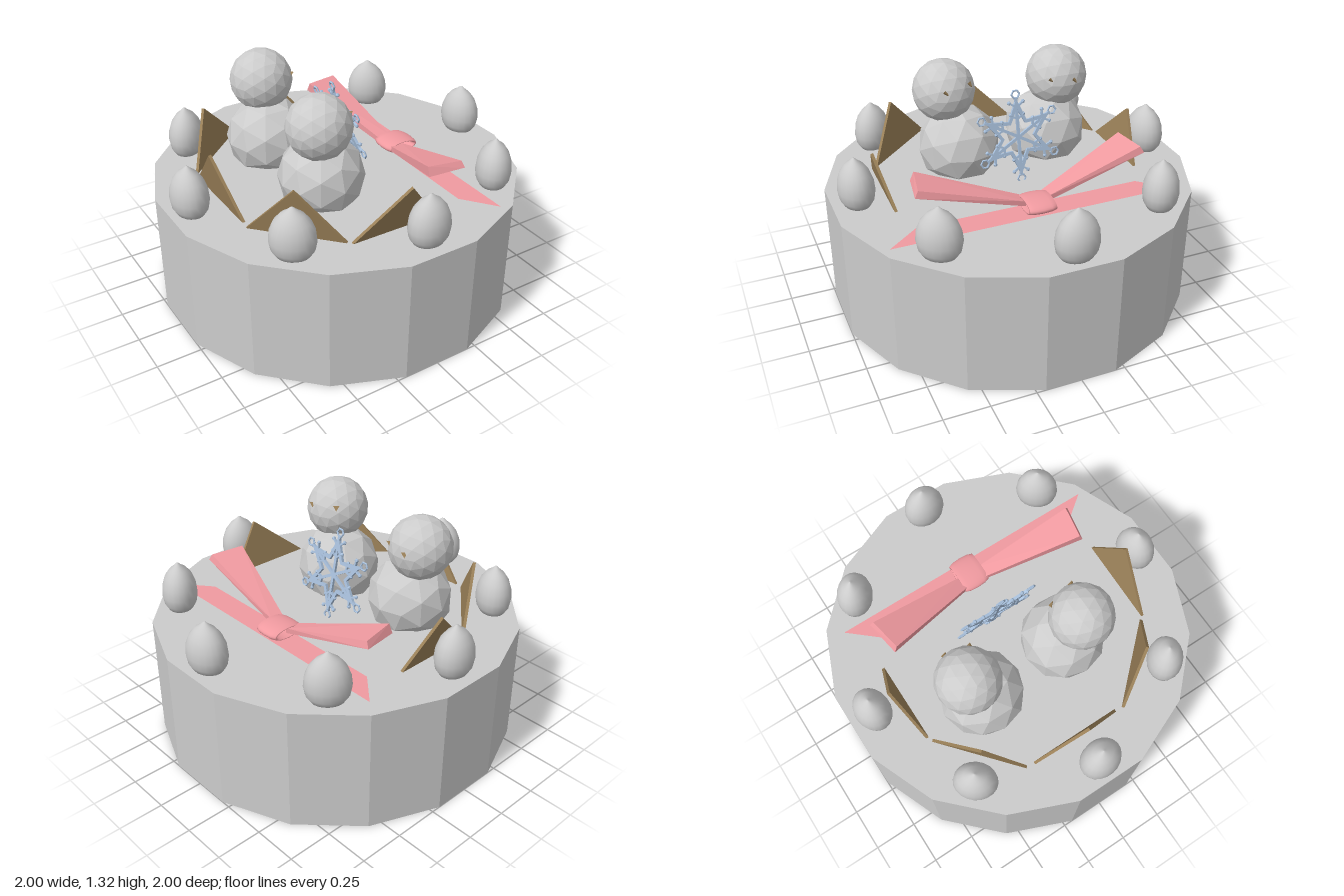
import * as THREE from 'three';
import { ConvexGeometry } from 'three/addons/geometries/ConvexGeometry.js';

const mat = (color, opts = {}) => new THREE.MeshStandardMaterial({ color, ...opts });
const V = (x, y, z) => new THREE.Vector3(x, y, z);

function add(parent, name, geometry, material, position) {
  const mesh = new THREE.Mesh(geometry, material);
  mesh.name = name;
  if (position) mesh.position.copy(position);
  parent.add(mesh);
  return mesh;
}

// Snowflake in its own XY plane, centred on the origin
function createSnowflake(material) {
  const flake = new THREE.Group();
  flake.name = 'snowflake';
  const starPoints = (outer, inner) => Array.from({ length: 12 }, (_, i) => {
    const a = Math.PI / 2 + i * Math.PI / 6, r = i % 2 ? inner : outer;
    return new THREE.Vector2(r * Math.cos(a), r * Math.sin(a));
  });
  const star = new THREE.Shape(starPoints(0.215, 0.105));
  star.holes.push(new THREE.Path(starPoints(0.16, 0.085)));
  const frame = new THREE.ExtrudeGeometry(star, { depth: 0.016, bevelEnabled: false });
  frame.translate(0, 0, -0.008);
  add(flake, 'starFrame', frame, material);

  const bar = (parent, name, length, width) =>
    add(parent, name, new THREE.BoxGeometry(width, length, 0.014), material);
  for (let i = 0; i < 6; i++) {
    const arm = new THREE.Group();
    arm.name = 'snowflakeArm';
    arm.rotation.z = i * Math.PI / 3;
    bar(arm, 'spoke', 0.22, 0.016).position.y = 0.11;
    add(arm, 'tipRing', new THREE.TorusGeometry(0.023, 0.006, 5, 6), material, V(0, 0.238, 0));
    for (const side of [-1, 1]) for (const [y, length] of [[0.1, 0.045], [0.165, 0.05]]) {
      const branch = new THREE.Group();
      branch.name = 'sideBranch';
      branch.position.y = y;
      branch.rotation.z = side * 0.95;
      bar(branch, 'twig', length, 0.01).position.y = length / 2;
      add(branch, 'twigBead', new THREE.IcosahedronGeometry(0.012, 0), material, V(0, length, 0));
      arm.add(branch);
    }
    flake.add(arm);
  }
  flake.position.set(0.055, 0.945, -0.04);
  flake.rotation.set(0, Math.PI / 2, 0.21, 'ZYX');
  return flake;
}

export function createModel() {
  const model = new THREE.Group();
  model.name = 'winterCake';
  const grey = mat(0xcccccc), facet = mat(0xcccccc, { flatShading: true });
  const chocolate = mat(0x9a8058, { flatShading: true });
  const pink = mat(0xf09aa0, { flatShading: true, side: THREE.DoubleSide });
  const pinkSmooth = mat(0xf09aa0);
  const ice = mat(0xa8c0dc, { flatShading: true });

  // Sixteen-sided cake with flats facing the axes
  const cakeGeo = new THREE.CylinderGeometry(1.0196, 1.0196, 0.7, 16);
  cakeGeo.rotateY(Math.PI / 16);
  add(model, 'cake', cakeGeo, facet, V(0, 0.35, 0));

  // Ring of cream dollops, wider along the rim
  const profile = [[0, 0], [0.72, 0], [0.92, 0.035], [1, 0.085], [0.95, 0.14], [0.78, 0.19],
    [0.5, 0.23], [0.22, 0.253], [0.08, 0.268], [0, 0.272]]
    .map(([r, y]) => new THREE.Vector2(r, y));
  const dollopGeo = new THREE.LatheGeometry(profile, 20);
  for (let i = 0; i < 8; i++) {
    const a = i * Math.PI / 4;
    const dollop = add(model, 'creamDollop', dollopGeo, grey,
      V(0.885 * Math.sin(a), 0.7, 0.865 * Math.cos(a)));
    dollop.scale.set(0.12, 1, 0.098);
    dollop.rotation.y = a + 0.12;
  }

  // Two snowmen with tiny eyes, facing +x
  const snowmen = [
    { body: [-0.245, 0.82, -0.33], head: [-0.24, 1.14, -0.395], eyes: [[1.175, -0.3], [1.165, -0.43]] },
    { body: [-0.22, 0.82, 0.21], head: [-0.27, 1.145, 0.275], eyes: [[1.195, 0.315], [1.205, 0.165]] },
  ];
  for (const s of snowmen) {
    const man = new THREE.Group();
    man.name = 'snowman';
    add(man, 'body', new THREE.IcosahedronGeometry(0.235, 1), facet, V(...s.body));
    const head = V(...s.head);
    add(man, 'head', new THREE.IcosahedronGeometry(0.176, 2), facet, head);
    for (const [y, z] of s.eyes) {
      const dx = Math.sqrt(0.17 ** 2 - (y - head.y) ** 2 - (z - head.z) ** 2);
      add(man, 'eye', new THREE.TetrahedronGeometry(0.022), chocolate, V(head.x + dx, y, z));
    }
    model.add(man);
  }

  // Chocolate shards leaning outward: base ends and apex
  const shards = [
    [[-0.27, -0.695], [0.2, -0.695], [-0.02, 0.955, -0.755]],
    [[-0.695, -0.335], [-0.295, -0.68], [-0.55, 0.985, -0.52]],
    [[-0.7, 0.24], [-0.7, -0.29], [-0.755, 0.995, 0]],
    [[-0.35, 0.67], [-0.71, 0.285], [-0.56, 0.985, 0.51]],
    [[0.17, 0.7], [-0.335, 0.69], [-0.03, 0.96, 0.76]],
  ];
  for (const [[ax, az], [bx, bz], apex] of shards) {
    const corners = [V(ax, 0.7, az), V(bx, 0.7, bz), V(...apex)];
    const normal = new THREE.Triangle(...corners).getNormal(V(0, 0, 0)).multiplyScalar(0.008);
    const points = corners.flatMap(p => [p.clone().add(normal), p.clone().sub(normal)]);
    add(model, 'chocolateShard', new ConvexGeometry(points), chocolate);
  }

  model.add(createSnowflake(ice));

  // Bow: flat ribbon, two tapered loops and a flattened ring knot
  const bow = new THREE.Group();
  bow.name = 'bow';
  const ribbon = new THREE.Shape([[0.36, 0.61], [0.5, 0.77], [0.5, -0.83], [0.36, -0.65]]
    .map(p => new THREE.Vector2(...p)));
  const ribbonGeo = new THREE.ShapeGeometry(ribbon);
  ribbonGeo.rotateX(-Math.PI / 2);
  add(bow, 'ribbonTail', ribbonGeo, pink, V(0, 0.704, 0));
  for (const side of [-1, 1]) {
    const z = side > 0 ? 0.015 : 0;
    const points = [
      [0.185, 0.93, 0.585], [0.375, 0.925, 0.62], [0.18, 0.88, 0.605], [0.385, 0.89, 0.64],
      [0.335, 0.755, 0.05], [0.41, 0.755, 0.05], [0.335, 0.725, 0.05], [0.41, 0.725, 0.05],
    ].map(([x, y, d]) => V(x, y, side * d + z));
    add(bow, 'bowLoop', new ConvexGeometry(points), pink);
  }
  const knot = add(bow, 'knot', new THREE.TorusGeometry(0.085, 0.02, 10, 28), pinkSmooth, V(0.413, 0.738, 0.005));
  knot.scale.set(1, 0.34, 4);
  model.add(bow);

  return model;
}
